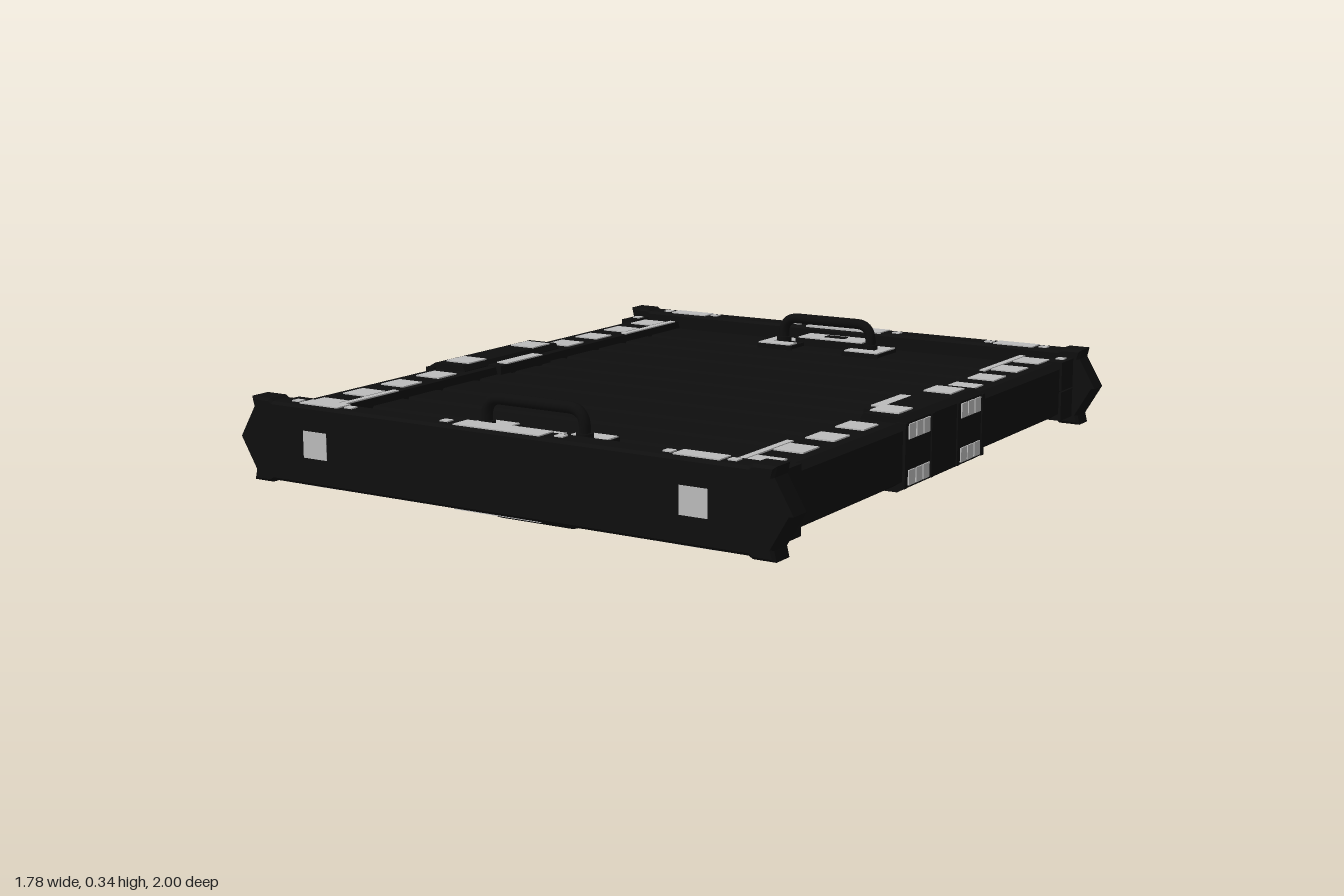
import * as THREE from 'three';

const black = new THREE.MeshStandardMaterial({ color: 0x0e0e0e });
black.name = 'black metal';
const pale = new THREE.MeshStandardMaterial({ color: 0xbcbcbc });
pale.name = 'pale grey paint';

function add(parent, name, geometry, material, x = 0, y = 0, z = 0) {
  const mesh = new THREE.Mesh(geometry, material);
  mesh.name = name;
  mesh.position.set(x, y, z);
  parent.add(mesh);
  return mesh;
}

const box = (parent, name, material, w, h, d, x, y, z) =>
  add(parent, name, new THREE.BoxGeometry(w, h, d), material, x, y, z);

// Thin painted plate lying on a surface at height y
const plate = (parent, name, x0, x1, z0, z1, y) =>
  box(parent, name, pale, x1 - x0, 0.006, z1 - z0, (x0 + x1) / 2, y + 0.001, (z0 + z1) / 2);

// Closed outline extruded along z, centred on z = 0
function prism(points, depth, bevel = 0) {
  const shape = new THREE.Shape(points.map(([x, y]) => new THREE.Vector2(x, y)));
  const geometry = new THREE.ExtrudeGeometry(shape, {
    depth: depth - 2 * bevel, bevelEnabled: bevel > 0, bevelThickness: bevel,
    bevelSize: bevel, bevelOffset: -bevel, bevelSegments: 1,
  });
  return geometry.translate(0, 0, bevel - depth / 2);
}

// Mirror a run of points top to bottom to close the outline
const closeY = (pts) => [...pts, ...pts.filter((p) => p[1] !== 0).reverse().map(([x, y]) => [x, -y])];

// Pointed end bar with small ears at its corners
function endBar() {
  const g = new THREE.Group();
  g.name = 'endBar';
  const right = [[0.765, 0.112], [0.775, 0.119], [0.842, 0.119], [0.835, 0.09], [0.888, 0]];
  const lower = right.slice(0, -1).reverse().map(([x, y]) => [x, -y]);
  const half = [...right, ...lower];
  const outline = [...half, ...half.map(([x, y]) => [-x, -y])];
  add(g, 'endBeam', prism(outline, 0.079, 0.008), black, 0, 0, 0.9595);
  for (const s of [-1, 1]) {
    box(g, 'endFaceSquare', pale, 0.083, 0.076, 0.006, s * 0.61, 0.004, 0.997);
  }
  return g;
}

// Fittings on one face of one end: handle, bracket and painted marks
function endFittings() {
  const g = new THREE.Group();
  g.name = 'endFittings';

  // Carry handle
  const v = (x, y) => new THREE.Vector3(x, y, 0);
  const path = new THREE.CurvePath();
  path.add(new THREE.LineCurve3(v(-0.16, 0.05), v(-0.16, 0.105)));
  path.add(new THREE.QuadraticBezierCurve3(v(-0.16, 0.105), v(-0.16, 0.156), v(-0.11, 0.156)));
  path.add(new THREE.LineCurve3(v(-0.11, 0.156), v(0.11, 0.156)));
  path.add(new THREE.QuadraticBezierCurve3(v(0.11, 0.156), v(0.16, 0.156), v(0.16, 0.105)));
  path.add(new THREE.LineCurve3(v(0.16, 0.105), v(0.16, 0.05)));
  add(g, 'handle', new THREE.TubeGeometry(path, 60, 0.0165, 10), black, 0, 0, 0.812);

  // Bracket with painted top and dark slot
  box(g, 'handleBracket', black, 0.25, 0.04, 0.1, 0, 0.068, 0.875);
  plate(g, 'bracketPlate', -0.118, 0.118, 0.833, 0.917, 0.088);
  box(g, 'bracketSlot', black, 0.072, 0.006, 0.03, 0, 0.092, 0.878);
  for (const s of [-1, 1]) {
    box(g, 'handleFoot', black, 0.13, 0.03, 0.13, s * 0.158, 0.06, 0.807);
    plate(g, 'footPlate', s > 0 ? 0.1 : -0.22, s > 0 ? 0.22 : -0.1, 0.745, 0.79, 0.075);
    plate(g, 'footPlate', s > 0 ? 0.12 : -0.22, s > 0 ? 0.22 : -0.12, 0.83, 0.87, 0.075);
    plate(g, 'footPlate', s > 0 ? 0.187 : -0.22, s > 0 ? 0.22 : -0.187, 0.79, 0.83, 0.075);
    add(g, 'handleCollar', new THREE.CylinderGeometry(0.024, 0.024, 0.02, 12), black, s * 0.16, 0.083, 0.812);
  }

  // Marks on the end bar
  plate(g, 'centreMark', -0.14, 0.14, 0.924, 0.987, 0.1115);
  for (const s of [-1, 1]) {
    plate(g, 'sideMark', s * 0.608 - 0.068, s * 0.608 + 0.068, 0.928, 0.982, 0.1115);
    for (const x of [0.185, 0.515, 0.703]) {
      plate(g, 'dotMark', s * x - 0.0135, s * x + 0.0135, 0.943, 0.968, 0.1115);
    }
    // Corner guard where rail meets end bar
    box(g, 'cornerGuard', black, 0.05, 0.09, 0.09, s * 0.793, 0.047, 0.873);
    plate(g, 'cornerDot', s * 0.79 - 0.013, s * 0.79 + 0.013, 0.874, 0.9, 0.092);
    // Long strip on the rail's inner edge
    plate(g, 'innerStrip', s * 0.655 - 0.01, s * 0.655 + 0.01, 0.595, 0.9, 0.086);
    // Row of squares along the rail
    [0.833, 0.667, 0.5, 0.336].forEach((z) => {
      plate(g, 'railSquare', s * 0.713 - 0.043, s * 0.713 + 0.043, z - 0.043, z + 0.043, 0.086);
    });
    // Clamp squares, on its top and on its outer side
    plate(g, 'clampSquare', s * 0.73 - 0.044, s * 0.73 + 0.044, 0.122, 0.21, 0.104);
    for (const z of [0.121, 0.165, 0.21]) {
      box(g, 'clampSideSquare', pale, 0.006, 0.042, 0.038, s * 0.815, 0.064, z);
    }
  }
  return g;
}

// Side rail with a clamp around its middle
function sideRail() {
  const g = new THREE.Group();
  g.name = 'sideRail';
  const rail = closeY([[0.64, 0.066], [0.645, 0.086], [0.785, 0.086], [0.81, 0.07]]);
  add(g, 'railBeam', prism(rail.reverse(), 1.86), black);
  const clamp = closeY([[0.675, 0.088], [0.685, 0.104], [0.79, 0.104], [0.814, 0.09]]);
  add(g, 'clamp', prism(clamp.reverse(), 0.49), black);
  for (const s of [-1, 1]) {
    box(g, 'clampLip', black, 0.03, 0.18, 0.016, 0.803, 0, s * 0.247);
    box(g, 'clampLip', black, 0.03, 0.18, 0.016, 0.803, 0, s * 0.083);
    box(g, 'middleBlock', black, 0.06, 0.03, 0.26, 0.655, s * 0.076, 0);
    box(g, 'middleStrip', pale, 0.04, 0.006, 0.184, 0.649, s * 0.092, 0);
  }
  return g;
}

export function createModel() {
  const model = new THREE.Group();
  model.name = 'slidingDoor';
  const body = new THREE.Group();
  body.name = 'doorBody';
  body.position.y = 0.173;
  model.add(body);

  // Core panel covered by chamfered planks with narrow grooves between
  box(body, 'panelCore', black, 1.32, 0.1, 1.86, 0, 0, 0);
  const edges = [0.07, 0.23, 0.41, 0.57, 0.73, 0.925];
  const seams = [...edges.map((e) => -e).reverse(), ...edges];
  for (let i = 0; i < seams.length - 1; i++) {
    const half = (seams[i + 1] - seams[i]) / 2 - 0.004;
    const section = closeY([[-half, 0.05], [-half + 0.012, 0.064], [half - 0.012, 0.064], [half, 0.05]]);
    const plank = add(body, 'plank', prism(section.reverse(), 1.3), black, 0, 0, (seams[i] + seams[i + 1]) / 2);
    plank.rotation.y = Math.PI / 2;
  }

  // Rails, end bars and fittings repeated by half turns
  for (const turnY of [0, Math.PI]) {
    const end = endBar();
    const rail = sideRail();
    end.rotation.y = rail.rotation.y = turnY;
    body.add(end, rail);
    for (const turnZ of [0, Math.PI]) {
      const fittings = endFittings();
      fittings.rotation.set(0, turnY, turnZ);
      body.add(fittings);
    }
  }
  return model;
}
